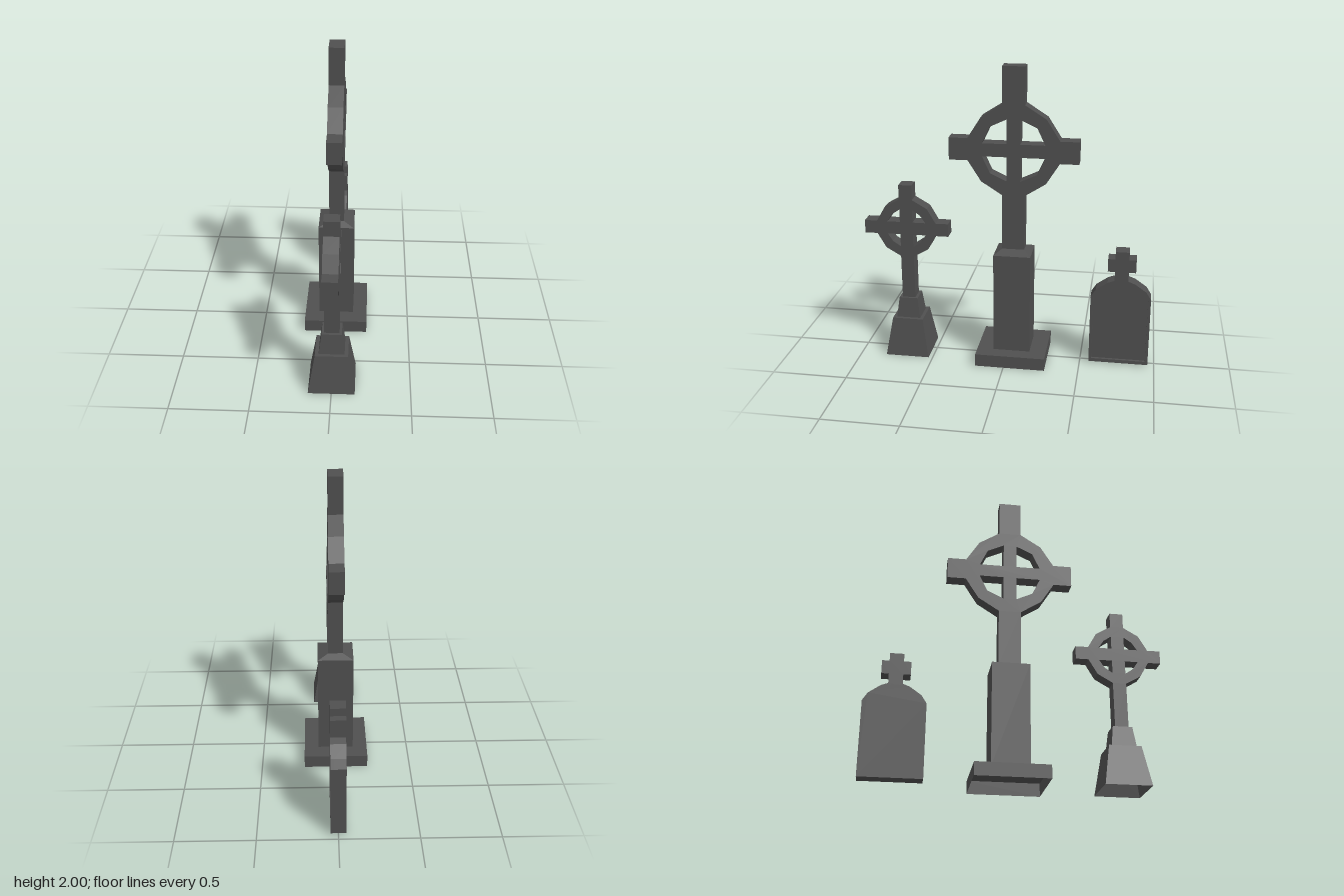
import * as THREE from 'three';

const stone = new THREE.MeshStandardMaterial({ color: 0x4f4f4f });
stone.name = 'dark stone';
const openStone = stone.clone(); // same stone for shells that are open underneath
openStone.side = THREE.DoubleSide;

const HALF = 0.048; // half thickness of the slabs along x

function add(parent, name, geometry, material = stone) {
  const mesh = new THREE.Mesh(geometry, material);
  mesh.name = name;
  parent.add(mesh);
  return mesh;
}

// Plate drawn in (z, y) and extruded along x from x0 to x1
function plate(outline, x0, x1, holes = []) {
  const toVectors = pts => pts.map(([u, v]) => new THREE.Vector2(u, v));
  const shape = new THREE.Shape(toVectors(outline));
  for (const hole of holes) shape.holes.push(new THREE.Path(toVectors(hole)));
  const geometry = new THREE.ExtrudeGeometry(shape, { depth: x1 - x0, bevelEnabled: false });
  return geometry.translate(0, 0, x0).rotateY(Math.PI / 2);
}

// Four-sided shell through rectangular sections [y, halfX, halfZ]
function shell(sections) {
  const corners = [[1, 1], [1, -1], [-1, -1], [-1, 1]];
  const positions = [];
  const put = ([y, hx, hz], [sx, sz]) => positions.push(sx * hx, y, sz * hz);
  for (let i = 0; i + 1 < sections.length; i++) {
    const lo = sections[i], hi = sections[i + 1];
    for (let k = 0; k < 4; k++) {
      const p = corners[k], q = corners[(k + 1) % 4];
      put(lo, p); put(lo, q); put(hi, q);
      put(lo, p); put(hi, q); put(hi, p);
    }
  }
  const geometry = new THREE.BufferGeometry();
  geometry.setAttribute('position', new THREE.Float32BufferAttribute(positions, 3));
  geometry.computeVertexNormals();
  return geometry;
}

// Ringed cross in one piece, pierced by four windows
function ringedCross({ centre, arm, top, bottom, width, ring, ringCorner, bar, inner, innerCorner }) {
  const quarter = tip => [
    [arm, width], [ring, width], [ringCorner, ringCorner], [width, ring], [width, tip],
  ];
  const flip = (pts, su, sv) => pts.map(([u, v]) => [su * u, sv * v]);
  const up = quarter(top - centre), down = quarter(centre - bottom);
  const outline = [
    ...up,
    ...flip(up, -1, 1).reverse(),
    ...flip(down, -1, -1),
    ...flip(down, 1, -1).reverse(),
  ];
  const window = [[bar, bar], [inner, bar], [innerCorner, innerCorner], [bar, inner]];
  const holes = [[1, 1], [-1, 1], [-1, -1], [1, -1]].map(([su, sv]) => flip(window, su, sv));
  return plate(outline, -HALF, HALF, holes).translate(0, centre, 0);
}

// Mirrors the right half of an outline, listed bottom to top
const mirrored = half => [...half, ...half.map(([u, v]) => [-u, v]).reverse()];

export function createModel() {
  const model = new THREE.Group();
  model.name = 'graveyardMonuments';

  // Tall ringed cross on a square pillar
  const tall = new THREE.Group();
  tall.name = 'tallMonument';
  tall.position.z = -0.043;
  add(tall, 'tallCross', ringedCross({
    centre: 1.462, arm: 0.419, top: 2, bottom: 0.78, width: 0.073,
    ring: 0.297, ringCorner: 0.21, bar: 0.043, inner: 0.203, innerCorner: 0.152,
  }));
  add(tall, 'pillar', shell([
    [0.085, 0.117, 0.122], [0.768, 0.117, 0.122], [0.795, 0.048, 0.073],
  ]));
  add(tall, 'pillarFoot', shell([
    [0, 0.212, 0.233], [0.085, 0.212, 0.233], [0.085, 0, 0],
  ]), openStone);
  model.add(tall);

  // Small ringed cross on a stepped, tapering base
  const small = new THREE.Group();
  small.name = 'smallMonument';
  small.position.z = 0.676;
  add(small, 'smallCross', ringedCross({
    centre: 0.9, arm: 0.284, top: 1.2, bottom: 0.39, width: 0.044,
    ring: 0.2, ringCorner: 0.143, bar: 0.043, inner: 0.13, innerCorner: 0.095,
  }));
  add(small, 'taperedBase', shell([
    [0, 0.148, 0.148], [0.262, 0.104, 0.104], [0.262, 0.081, 0.081],
    [0.4, 0.063, 0.063], [0.4, 0, 0],
  ]), openStone);
  model.add(small);

  // Arched headstone with a sunken panel on one face and a plain cross on top
  const headstone = new THREE.Group();
  headstone.name = 'headstone';
  headstone.position.z = -0.759;
  const arch = mirrored([[0.198, 0.01], [0.198, 0.49], [0.165, 0.542], [0.09, 0.595], [0.045, 0.612]]);
  const panel = mirrored([[0.18, 0.033], [0.18, 0.495], [0.15, 0.54], [0.077, 0.585]]);
  add(headstone, 'headstoneSlab', plate(arch, -HALF, 0.03));
  add(headstone, 'headstoneFrame', plate(arch, 0.03, HALF, [panel]));
  add(headstone, 'headstoneCross', plate(mirrored([
    [0.045, 0.6], [0.045, 0.675], [0.092, 0.675], [0.092, 0.763], [0.045, 0.763], [0.045, 0.815],
  ]), -HALF, HALF));
  model.add(headstone);

  return model;
}
